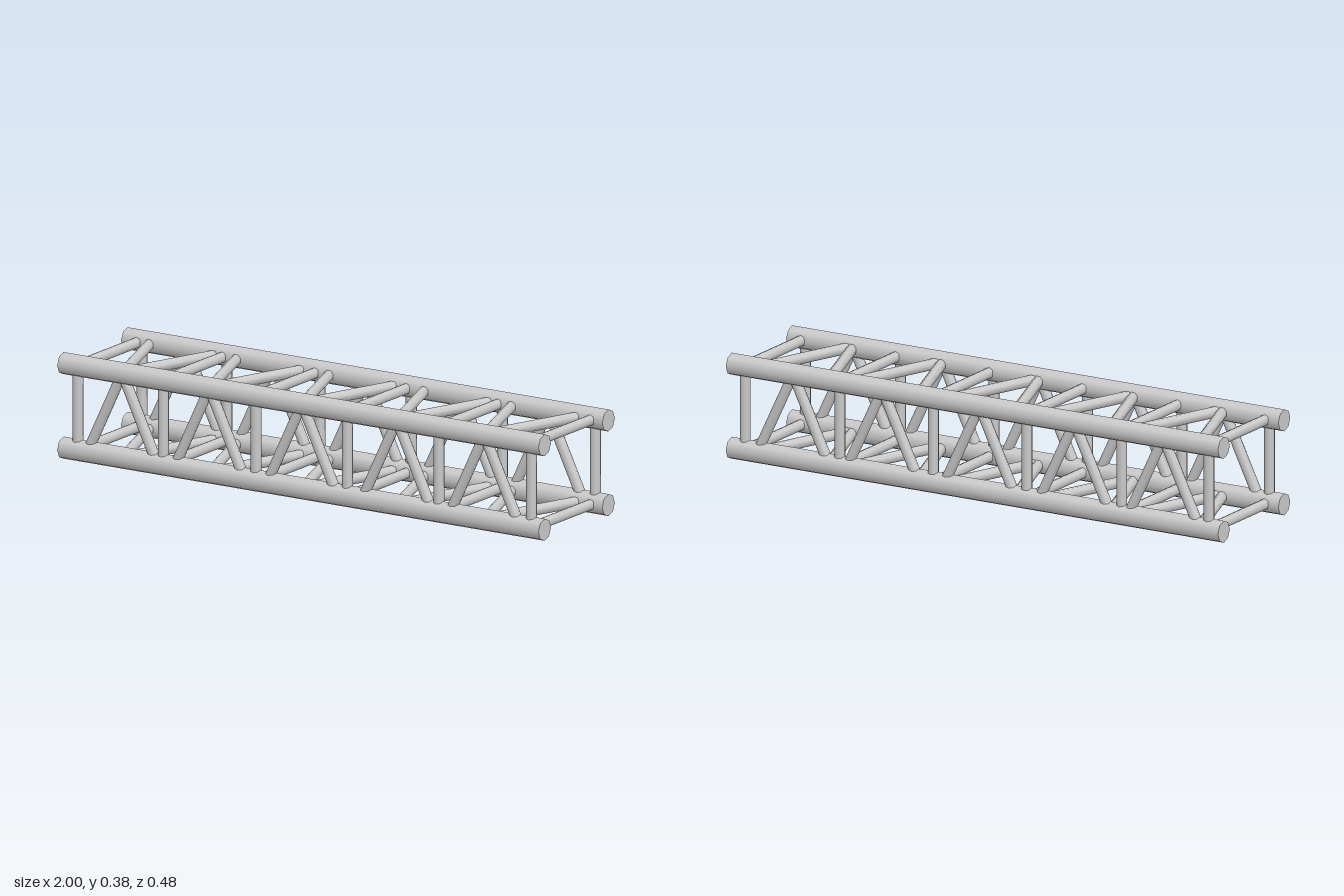
import * as THREE from 'three';

const CHORD_R = 0.0395, BRACE_R = 0.0195;
const Y_LOW = 0.04, Y_HIGH = 0.343, Z_SIDE = 0.2;
const POSTS = [-0.94, -0.585, -0.2, 0.18, 0.56, 0.945];
const APEXES = [-0.755, -0.393, -0.008, 0.387, 0.75];
const SPREAD = 0.145;

const material = new THREE.MeshStandardMaterial({ color: 0xcccccc });
const UP = new THREE.Vector3(0, 1, 0);

// Round eight-sided tube between two points
function tube(name, a, b, radius) {
  const from = new THREE.Vector3(...a), to = new THREE.Vector3(...b);
  const dir = to.clone().sub(from);
  const mesh = new THREE.Mesh(new THREE.CylinderGeometry(radius, radius, dir.length(), 8), material);
  mesh.name = name;
  mesh.position.copy(from).add(to).multiplyScalar(0.5);
  mesh.quaternion.setFromUnitVectors(UP, dir.normalize());
  return mesh;
}

// One face of the lattice: straight struts plus V-shaped pairs of diagonals.
// base(x) and tip(x) give points on the two chords the face connects.
function latticeFace(name, base, tip) {
  const face = new THREE.Group();
  face.name = name;
  for (const x of POSTS) face.add(tube('strut', base(x), tip(x), BRACE_R));
  for (const x of APEXES)
    for (const s of [-1, 1]) face.add(tube('diagonal', base(x + s * SPREAD), tip(x), BRACE_R));
  return face;
}

export function createModel() {
  const model = new THREE.Group();
  model.name = 'boxTruss';

  // Four long corner chords
  for (const y of [Y_LOW, Y_HIGH])
    for (const z of [-Z_SIDE, Z_SIDE])
      model.add(tube('chord', [-1, y, z], [1, y, z], CHORD_R));

  // Front and back lattices, diagonals meeting at the upper chord
  for (const [name, z] of [['frontLattice', Z_SIDE], ['backLattice', -Z_SIDE]])
    model.add(latticeFace(name, x => [x, Y_LOW, z], x => [x, Y_HIGH, z]));

  // Top and bottom lattices, diagonals meeting at the front chord
  for (const [name, y] of [['topLattice', Y_HIGH], ['bottomLattice', Y_LOW]])
    model.add(latticeFace(name, x => [x, y, -Z_SIDE], x => [x, y, Z_SIDE]));

  return model;
}
